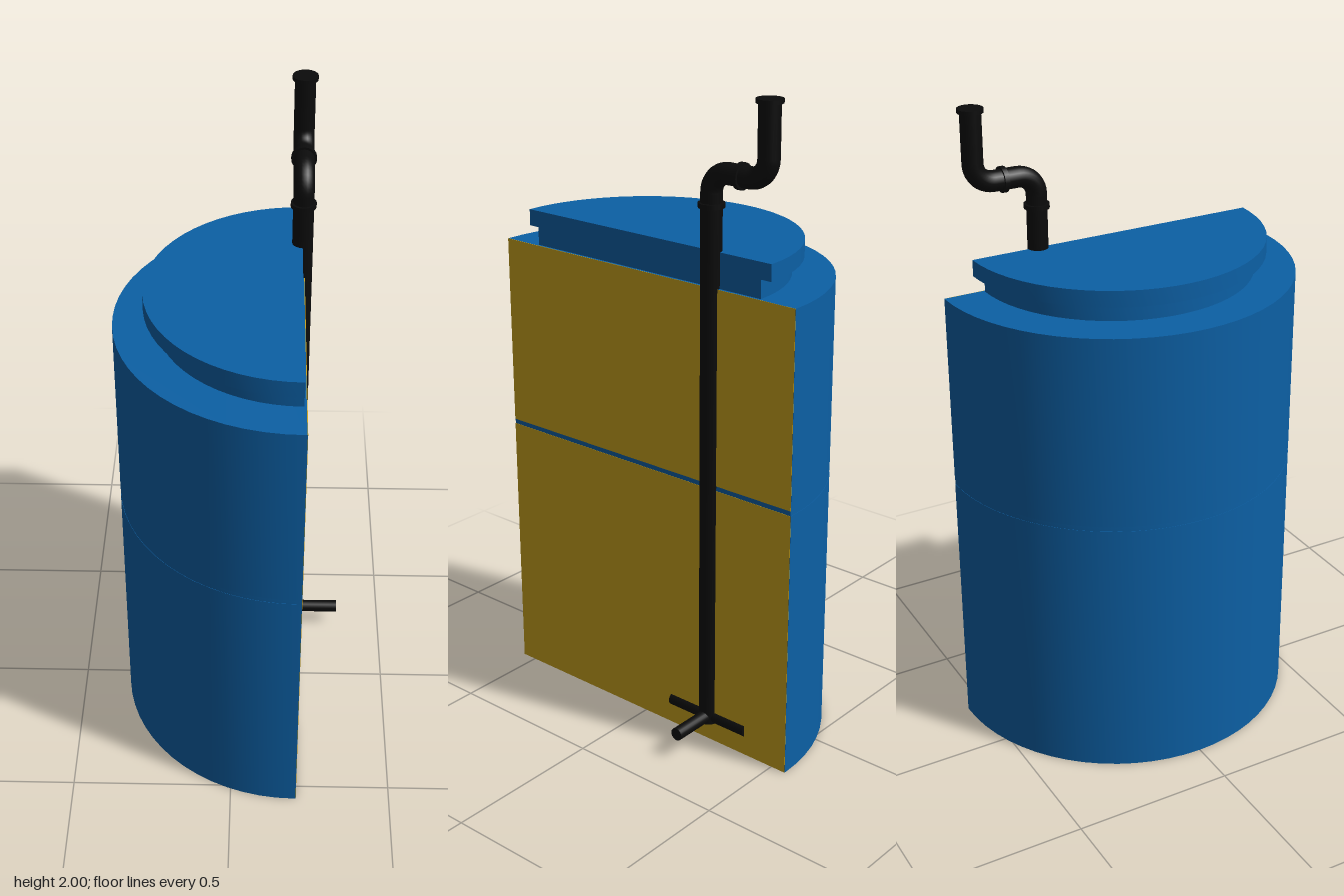
import * as THREE from 'three';
import { toCreasedNormals } from 'three/addons/utils/BufferGeometryUtils.js';

const blue = new THREE.MeshStandardMaterial({ color: 0x0c60a5 });
const yellow = new THREE.MeshStandardMaterial({ color: 0xc9a21e });
const black = new THREE.MeshStandardMaterial({ color: 0x0b0b0b });

const CX = 0.198;   // axis of the half drum and of the pipe
const FACE = 0.207; // flat side of the tank

export function createModel() {
  const model = new THREE.Group();
  const add = (name, geometry, material) => {
    const mesh = new THREE.Mesh(geometry, material);
    mesh.name = name;
    model.add(mesh);
    return mesh;
  };

  // Half-round slab between two heights, flat side towards +x
  const halfDrum = (name, radius, y0, y1, flat = CX) => {
    const shape = new THREE.Shape();
    shape.absarc(CX, 0, radius, Math.PI / 2, Math.PI * 1.5);
    if (flat > CX) {
      shape.lineTo(flat, -radius);
      shape.lineTo(flat, radius);
    }
    const geometry = new THREE.ExtrudeGeometry(shape, {
      depth: y1 - y0, bevelEnabled: false, curveSegments: 16,
    });
    geometry.rotateX(-Math.PI / 2).translate(0, y0, 0);
    add(name, toCreasedNormals(geometry, Math.PI / 6), blue);
  };

  // Tank shell in two sections with a seam
  halfDrum('lowerTank', 0.55, 0, 0.84, FACE - 0.001);
  halfDrum('seam', 0.549, 0.84, 0.855, FACE - 0.001);
  halfDrum('upperTank', 0.55, 0.855, 1.45, FACE - 0.001);
  halfDrum('neck', 0.425, 1.45, 1.505);
  halfDrum('lid', 0.46, 1.505, 1.555);

  // Yellow panels on the flat side
  for (const [name, y0, y1] of [['lowerPanel', 0, 0.84], ['upperPanel', 0.855, 1.45]]) {
    const panel = new THREE.BoxGeometry(0.002, y1 - y0, 1.099);
    add(name, panel.translate(FACE - 0.001, (y0 + y1) / 2, 0), yellow);
  }

  // Round bar between two points
  const rod = (name, radius, from, to) => {
    const a = new THREE.Vector3(...from), b = new THREE.Vector3(...to);
    const dir = b.clone().sub(a);
    const mesh = add(name, new THREE.CylinderGeometry(radius, radius, dir.length(), 20), black);
    mesh.position.copy(a).add(b).multiplyScalar(0.5);
    mesh.quaternion.setFromUnitVectors(new THREE.Vector3(0, 1, 0), dir.normalize());
  };

  // Pipe runs and elbows
  const R = 0.031, BEND = 0.06, Z1 = -0.25, Z2 = -0.445, YH = 1.78;
  rod('downPipe', R, [CX, 0.06, Z1], [CX, YH - BEND, Z1]);
  rod('crossPipe', R, [CX, YH, Z1 - BEND], [CX, YH, Z2 + BEND]);
  rod('outletPipe', R, [CX, YH + BEND, Z2], [CX, 2, Z2]);
  const elbow = (name, turn, y, z) => {
    const geometry = new THREE.TorusGeometry(BEND, R, 20, 10, Math.PI / 2);
    geometry.rotateZ(turn).rotateY(Math.PI / 2);
    add(name, geometry.translate(CX, y, z), black);
  };
  elbow('lowerElbow', Math.PI / 2, YH - BEND, Z1 - BEND);
  elbow('upperElbow', -Math.PI / 2, YH + BEND, Z2 + BEND);

  // Collars at the joints
  rod('lowerCollar', 0.038, [CX, 1.678, Z1], [CX, 1.692, Z1]);
  rod('middleCollar', 0.038, [CX, YH, -0.348], [CX, YH, -0.362]);
  rod('topCollar', 0.038, [CX, 1.988, Z2], [CX, 2, Z2]);

  // Crossed spreader bars at the foot of the pipe
  rod('footBarLong', 0.02, [CX, 0.08, -0.105], [CX, 0.08, -0.395]);
  rod('footBarOut', 0.02, [0.05, 0.08, -0.25], [0.352, 0.08, -0.25]);

  return model;
}
